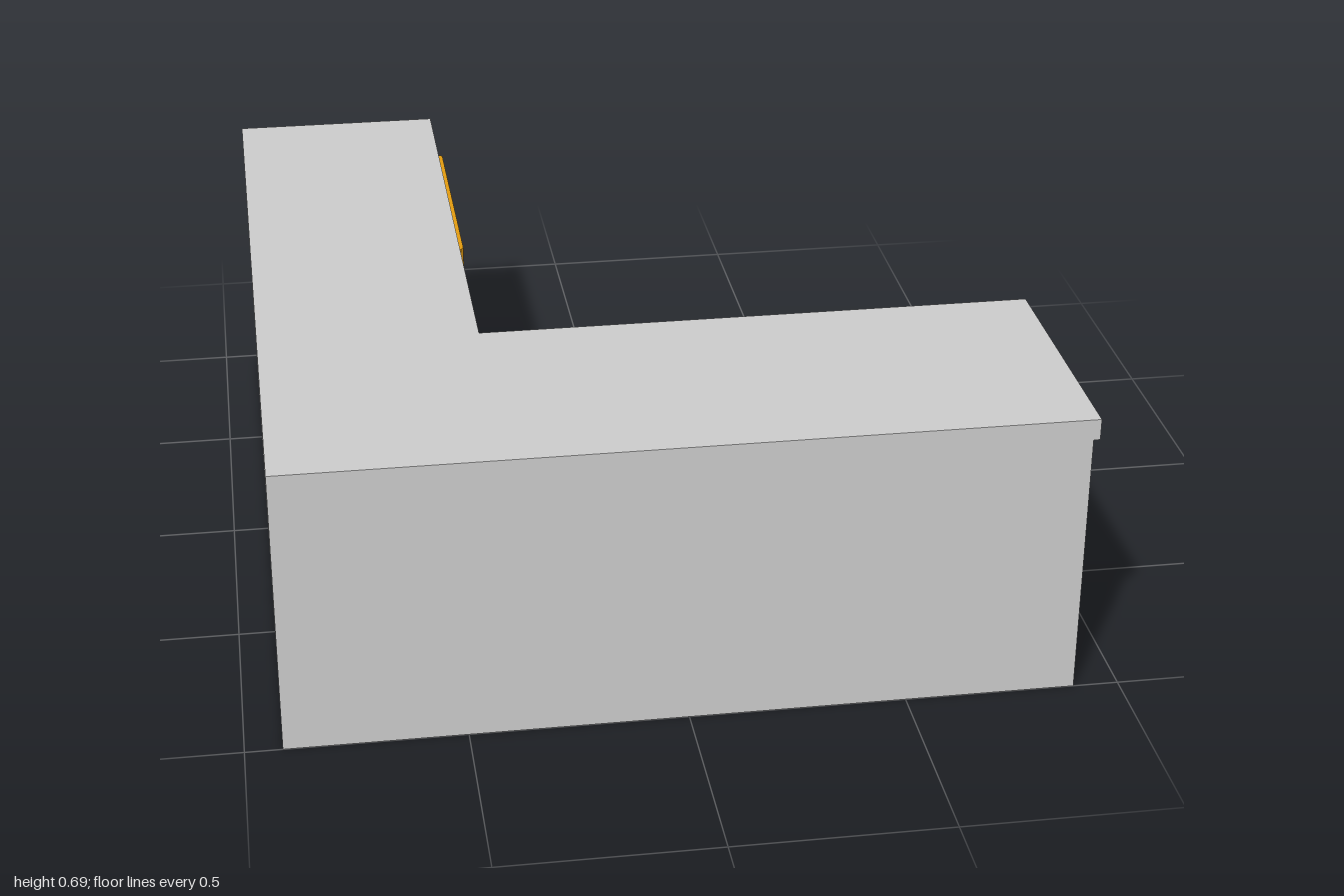
import * as THREE from 'three';

const grey = new THREE.MeshStandardMaterial({ color: 0xcccccc, flatShading: true });
const orange = new THREE.MeshStandardMaterial({ color: 0xe39b10, flatShading: true });
const TOP = 0.69, UNDER = 0.64, APRON = 0.48, WALL = 0.075;

// Box given by its lower and upper limits
function box(name, [x0, x1], [y0, y1], [z0, z1]) {
  const mesh = new THREE.Mesh(new THREE.BoxGeometry(x1 - x0, y1 - y0, z1 - z0), grey);
  mesh.position.set((x0 + x1) / 2, (y0 + y1) / 2, (z0 + z1) / 2);
  mesh.name = name;
  return mesh;
}

// Floor plan (x, z points) raised from y0 to y1, with an optional hole
function raisePlan(name, plan, y0, y1, material, hole) {
  const points = (list) => list.map(([x, z]) => new THREE.Vector2(x, -z));
  const shape = new THREE.Shape(points(plan));
  if (hole) shape.holes.push(new THREE.Path(points(hole)));
  const geometry = new THREE.ExtrudeGeometry(shape, { depth: y1 - y0, bevelEnabled: false });
  geometry.rotateX(-Math.PI / 2);
  const mesh = new THREE.Mesh(geometry, material);
  mesh.position.y = y0;
  mesh.name = name;
  return mesh;
}

const rect = (x0, x1, z0, z1) => [[x0, z0], [x1, z0], [x1, z1], [x0, z1]];

// Drawer front facing -z, standing out from its origin, with chamfered ends
function drawerFront(name, width, y0, y1) {
  const w = width / 2;
  return raisePlan(name, [
    [-w + 0.008, 0], [-w + 0.008, -0.008], [-w, -0.009], [-w, -0.015], [-w + 0.008, -0.022],
    [w - 0.008, -0.022], [w, -0.015], [w, -0.009], [w - 0.008, -0.008], [w - 0.008, 0],
  ], y0, y1, orange);
}

export function createModel() {
  const desk = new THREE.Group();
  desk.name = 'cornerDesk';

  // L-shaped worktop
  desk.add(raisePlan('worktop', [
    [-0.915, -1], [-0.4, -1], [-0.4, 0.37], [0.91, 0.37], [0.91, 1], [-0.915, 1],
  ], UNDER, TOP, grey));

  // Outer walls
  desk.add(
    box('frontPanel', [-0.915, 0.895], [0, UNDER], [1 - WALL, 1]),
    box('sidePanel', [-0.915, -0.915 + WALL], [0, UNDER], [-0.965, 1 - WALL]),
    box('endPanel', [-0.915 + WALL, -0.4], [0, UNDER], [-0.965, -0.89]),
  );

  // Drawer pedestal, hollow below the drawers
  desk.add(
    box('pedestalBody', [0.49, 0.895], [0.26, UNDER], [0.37, 1 - WALL]),
    raisePlan('pedestalBase', rect(0.49, 0.895, 0.37, 1 - WALL), 0, 0.26, grey,
      rect(0.502, 0.875, 0.382, 1 - WALL - 0.002)),
  );
  for (let i = 0; i < 3; i++) {
    const y = 0.23 + i * 0.14;
    const drawer = drawerFront('pedestalDrawer', 0.355, y, y + 0.11);
    drawer.position.x = 0.694;
    drawer.position.z = 0.37;
    desk.add(drawer);
  }

  // Wide shallow drawer under the side wing, facing +x
  desk.add(box('wideDrawerBox', [-0.915 + WALL, -0.4], [APRON, UNDER], [-0.89, -0.265]));
  const wide = drawerFront('wideDrawer', 0.635, 0.51, 0.62);
  wide.rotation.y = -Math.PI / 2;
  wide.position.x = -0.4;
  wide.position.z = -0.585;
  desk.add(wide);

  // Post at the inner corner and the two beams running to the outer walls
  desk.add(
    raisePlan('cornerPost', rect(-0.48, -0.4, 0.37, 0.45), 0, UNDER, grey,
      rect(-0.465, -0.415, 0.385, 0.435)),
    box('frontBeam', [-0.48, -0.4], [APRON, UNDER], [0.45, 1 - WALL]),
    box('sideBeam', [-0.915 + WALL, -0.48], [APRON, UNDER], [0.37, 0.45]),
  );

  return desk;
}
